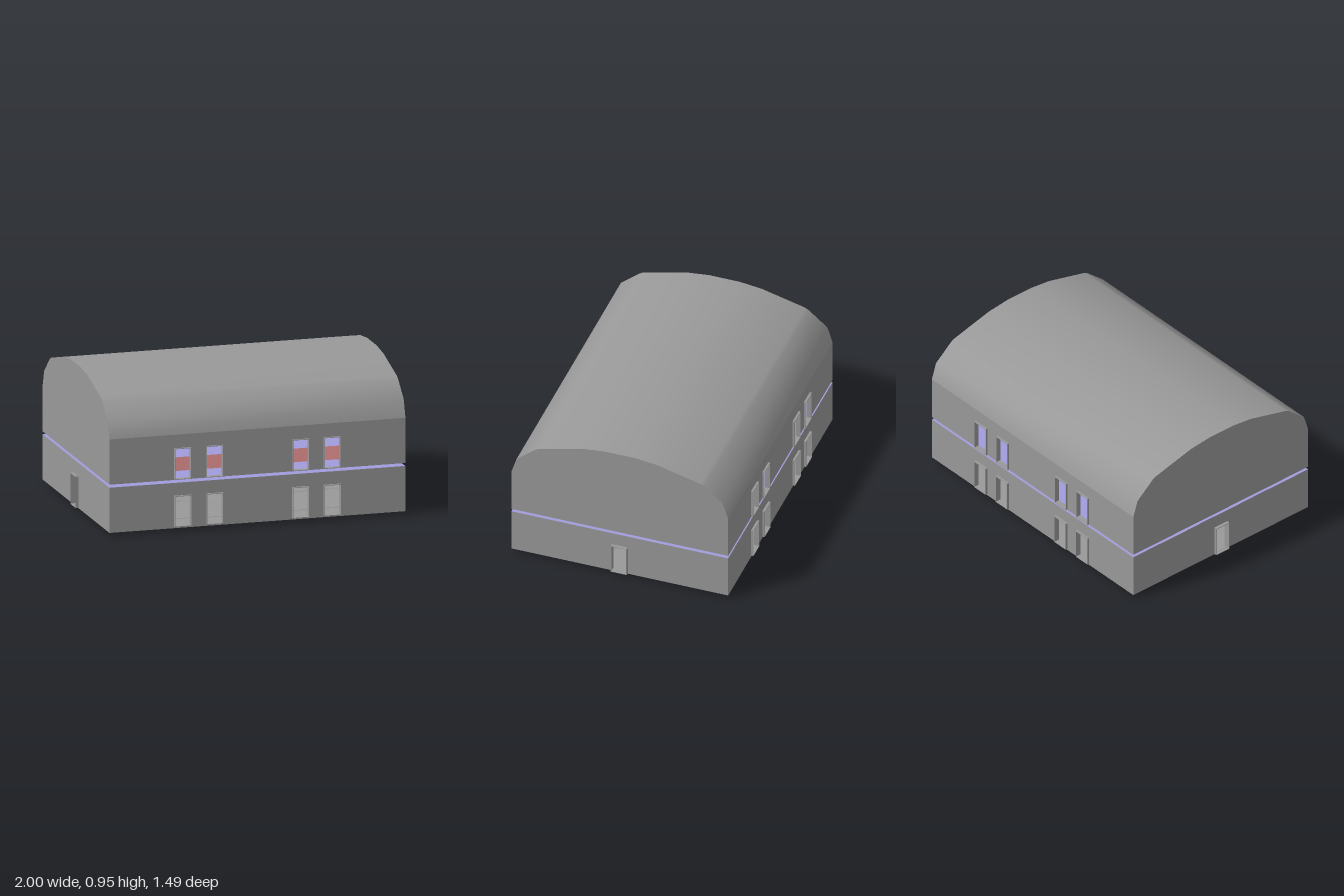
import * as THREE from 'three';
import { toCreasedNormals } from 'three/addons/utils/BufferGeometryUtils.js';

const HX = 0.98, HZ = 0.73, T = 0.02;
const mat = (color) => new THREE.MeshStandardMaterial({ color, side: THREE.DoubleSide });

export function createModel() {
  const model = new THREE.Group();
  const grey = mat(0x999999), pink = mat(0xffa2a2), blue = mat(0xa09cdc);

  const add = (name, geometry, material = grey, parent = model) => {
    const mesh = new THREE.Mesh(geometry, material);
    mesh.name = name;
    parent.add(mesh);
    return mesh;
  };
  const box = (name, w, h, d, x, y, z, material) => {
    const m = add(name, new THREE.BoxGeometry(w, h, d), material);
    m.position.set(x, y, z);
    return m;
  };
  const loopOf = (P, pts) => new P(pts.map(([a, b]) => new THREE.Vector2(a, b)));
  const rect = (P, x0, x1, y0, y1) => loopOf(P, [[x0, y0], [x1, y0], [x1, y1], [x0, y1]]);
  const extrude = (shape, depth) => new THREE.ExtrudeGeometry(shape, { depth, bevelEnabled: false });

  // Thin frame lining an opening, standing slightly proud of the wall (built facing +z)
  const frame = (name, x, y0, y1, w, proud, parent) => {
    const shape = rect(THREE.Shape, x - w / 2, x + w / 2, y0, y1);
    const t = 0.004;
    shape.holes.push(rect(THREE.Path, x - w / 2 + t, x + w / 2 - t, y0 + t, y1 - t));
    add(name, extrude(shape, T + proud), grey, parent).position.z = -T;
  };

  // Wall with openings, built in its own plane and turned outward
  const wall = (name, shape, openings, turn, distance, proud, thickness = T) => {
    const group = new THREE.Group();
    group.name = name;
    for (const [x, y0, y1, w] of openings) {
      shape.holes.push(rect(THREE.Path, x - w / 2, x + w / 2, y0, y1));
      frame(name + 'OpeningFrame', x, y0, y1, w, proud, group);
    }
    add(name + 'Panel', extrude(shape, thickness), grey, group).position.z = -thickness;
    group.rotation.y = turn;
    group.position.set(Math.sin(turn) * distance, 0, Math.cos(turn) * distance);
    model.add(group);
  };

  // Roof outline across the building, as half points from eave to ridge
  const half = [[HZ, 0.63], [0.695, 0.74], [0.57, 0.846], [0.545, 0.86], [0.25, 0.936], [0.1, 0.953]];
  const arch = [...half, ...half.map(([z, y]) => [-z, y]).reverse()];

  const xs = [-0.495, -0.285, 0.285, 0.495];
  for (const turn of [0, Math.PI]) {
    wall('lowerLongWall', rect(THREE.Shape, -HX, HX, 0.02, 0.315),
      xs.map((x) => [x, 0.03, 0.232, 0.112]), turn, HZ, 0.016);
    wall('upperLongWall', rect(THREE.Shape, -HX, HX, 0.335, 0.63),
      xs.map((x) => [x, 0.338, 0.542, 0.112]), turn, HZ, 0.014);
  }
  for (const turn of [Math.PI / 2, -Math.PI / 2]) {
    wall('lowerEndWall', rect(THREE.Shape, -HZ, HZ, 0.02, 0.315),
      [[0, 0.023, 0.228, 0.108]], turn, HX, 0.02);
    wall('gableWall', loopOf(THREE.Shape, [[-HZ, 0.335], [HZ, 0.335], ...arch]), [], turn, HX, 0, 0.002);
  }

  // Vaulted roof shell
  const inner = arch.map(([z, y]) => [z * 0.97, 0.63 + (y - 0.63) * 0.94]).reverse();
  const length = 2 * HX - 0.004;
  const roof = toCreasedNormals(extrude(loopOf(THREE.Shape, [...arch, ...inner]), length), 0.6);
  roof.translate(0, 0, -length / 2).rotateY(Math.PI / 2);
  add('vaultedRoof', roof);

  // Floors: ground slab, lower ceiling and upper floor with a gap between the storeys
  box('groundFloor', 2 * HX, 0.008, 2 * HZ, 0, 0.024, 0);
  box('lowerCeiling', 2 * HX - 0.002, 0.006, 2 * HZ - 0.002, 0, 0.3125, 0, blue);
  box('upperFloor', 2 * HX - 0.002, 0.006, 2 * HZ - 0.002, 0, 0.3375, 0, blue);

  // Upright ribbon standing along a curve, cut off level at a ceiling height
  const ribbon = (curve, height, ceiling, steps) => {
    const g = new THREE.PlaneGeometry(1, 1, steps, 1);
    const p = g.attributes.position;
    for (let i = 0; i < p.count; i++) {
      const c = curve.getPoint(p.getX(i) + 0.5);
      const top = Math.max(c.y, Math.min(c.y + height, ceiling));
      p.setXYZ(i, c.x, p.getY(i) > 0 ? top : c.y, c.z);
    }
    g.computeVertexNormals();
    return g;
  };

  // One rounded ground rail per quarter, just showing under the floor
  const pen = [[0.78, 0.5], [0.7, 0.53], [0.42, 0.53], [0.24, 0.55], [0.16, 0.54],
    [0.12, 0.4], [0.13, 0.22], [0.24, 0.12], [0.42, 0.08], [0.7, 0.07], [0.76, 0.1], [0.77, 0.3]];
  const along = (pts, y, sx, sz, closed) => new THREE.CatmullRomCurve3(
    pts.map(([x, z]) => new THREE.Vector3(sx * x, y, sz * z)), closed);
  for (const sx of [-1, 1]) for (const sz of [-1, 1]) {
    add('groundRail', new THREE.TubeGeometry(along(pen, 0.025, sx, sz, true), 80, 0.007, 4, true));
  }

  // Upper rail and fence round each end, open at the ramp landings
  const bay = [[0.1, 0.53], [0.4, 0.53], [0.7, 0.53], [0.77, 0.49], [0.785, 0.4], [0.785, 0]];
  const sweep = [...bay, ...bay.slice(0, -1).map(([x, z]) => [x, -z]).reverse()];
  for (const sx of [-1, 1]) {
    add('upperRail', new THREE.TubeGeometry(along(sweep, 0.325, sx, 1, false), 100, 0.009, 8));
    add('upperFence', ribbon(along(sweep, 0.335, sx, 1, false), 0.095, 1, 100), pink);
  }

  // Two curved ramps, each climbing half a turn between the storeys
  for (const s of [1, -1]) {
    const pts = [];
    for (let i = 0; i <= 16; i++) {
      const u = i / 16, t = u * Math.PI;
      const y = 0.013 + 0.312 * u + 0.03 * Math.sin(t) ** 2;
      pts.push(new THREE.Vector3(s * 0.4 * Math.sin(t), y, s * 0.535 * Math.cos(t)));
    }
    const curve = new THREE.CatmullRomCurve3(pts);
    add('rampRail', new THREE.TubeGeometry(curve, 60, 0.01, 8));
    add('rampFence', ribbon(curve, s > 0 ? 0.11 : 0.22, 0.31, 60), s > 0 ? pink : blue);
    box('rampFootLip', 0.19, 0.01, 0.032, s * 0.06, 0.0082, s * 0.552, grey).rotation.x = s * 0.2;
    box('rampFootInside', 0.18, 0.012, 0.032, s * 0.06, 0.013, s * 0.52, blue).rotation.x = s * 0.2;
    box('rampLanding', 0.2, 0.02, 0.075, 0, 0.325, s * 0.508, blue);
  }
  return model;
}
